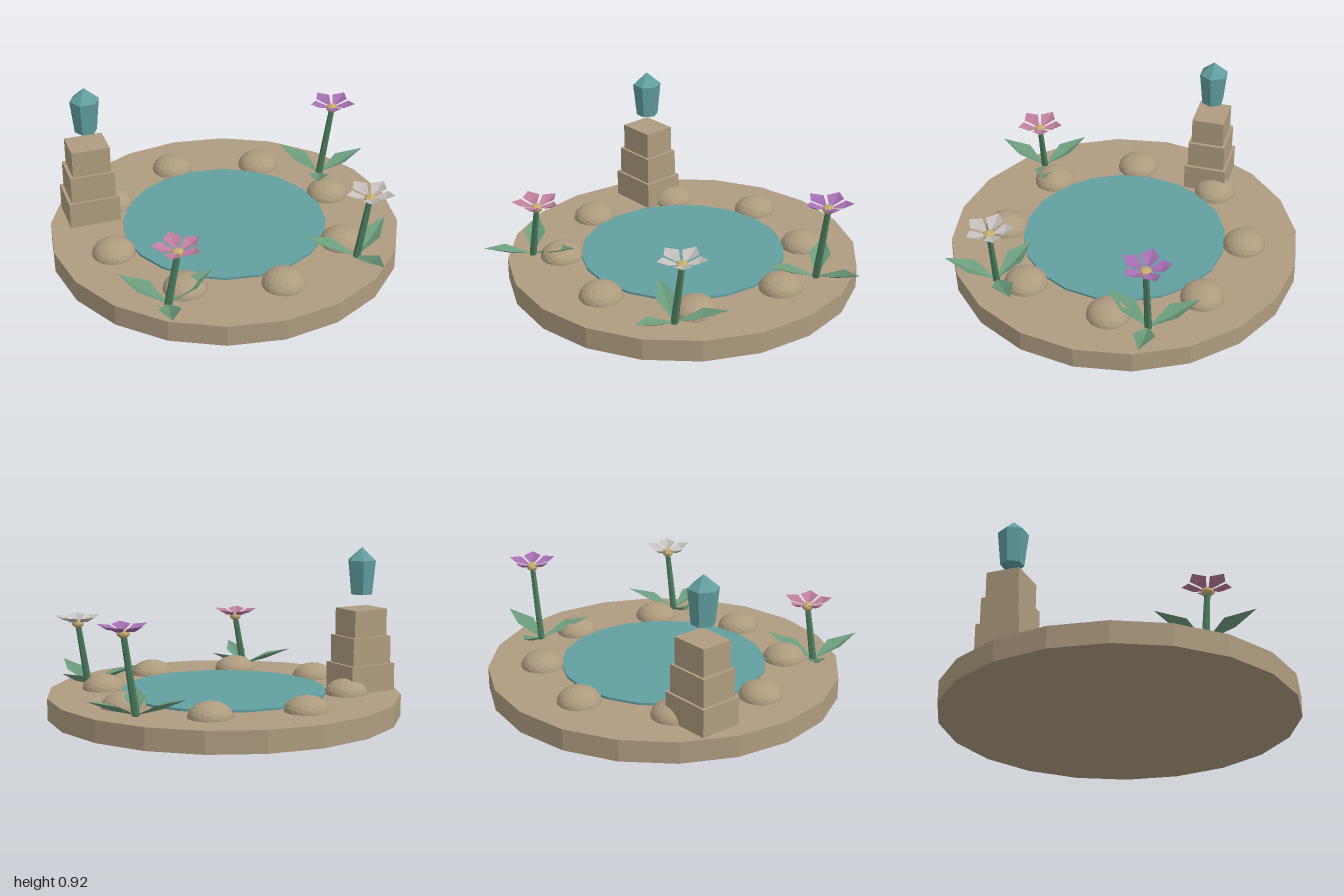
import * as THREE from 'three';

const mat = (name, color) => {
  const m = new THREE.MeshStandardMaterial({ color, flatShading: true });
  m.name = name;
  return m;
};

// Folded blade along +x: narrow base, raised edges, spine and pointed tip.
function bladeGeometry({ start, wide, length, halfWidth, spineY, edgeY, tipY }) {
  const base = [start, 0, 0], spine = [wide, spineY, 0], tip = [length, tipY, 0];
  const near = [wide, edgeY, halfWidth], far = [wide, edgeY, -halfWidth];
  const corners = [base, near, spine, near, tip, spine, base, spine, far, spine, tip, far];
  const g = new THREE.BufferGeometry();
  g.setAttribute('position', new THREE.Float32BufferAttribute(corners.flat(), 3));
  g.computeVertexNormals();
  return g;
}

export function createModel() {
  const root = new THREE.Group();
  root.name = 'pondGarden';

  const stone = mat('sandstone', 0xae9c7f);
  const water = mat('teal', 0x629fa0);
  const stemGreen = mat('stemGreen', 0x4a7a5c);
  const leafGreen = mat('leafGreen', 0x6b9c7c);
  const yellow = mat('pollenYellow', 0xc4ac70);
  const violet = mat('violetPetal', 0xa46eb0);
  const white = mat('whitePetal', 0xc2bfbb);
  const pink = mat('pinkPetal', 0xbd7d9c);
  for (const m of [leafGreen, violet, white, pink]) m.side = THREE.DoubleSide;

  const add = (parent, name, geometry, material, x = 0, y = 0, z = 0) => {
    const mesh = new THREE.Mesh(geometry, material);
    mesh.name = name;
    mesh.position.set(x, y, z);
    parent.add(mesh);
    return mesh;
  };

  // Round base and pool
  const cx = -0.013, ground = 0.12;
  add(root, 'base', new THREE.CylinderGeometry(0.985, 0.985, ground, 20), stone, cx, ground / 2, 0);
  add(root, 'pool', new THREE.CylinderGeometry(0.576, 0.576, 0.02, 20), water, cx, 0.123, 0);

  // Ring of rounded stones
  const rock = new THREE.IcosahedronGeometry(0.12, 3).scale(1, 0.7, 1);
  for (let i = 0; i < 8; i++) {
    const a = -0.15 + i * Math.PI / 4;
    add(root, 'rimStone', rock, stone, cx + 0.682 * Math.cos(a), ground, 0.682 * Math.sin(a));
  }

  // Stepped pillar
  const px = -0.708, pz = -0.338;
  [[0.29, 0.245, 0.12, 0.273], [0.254, 0.215, 0.273, 0.428], [0.217, 0.185, 0.428, 0.58]]
    .forEach(([w, d, y0, y1]) =>
      add(root, 'pillarBlock', new THREE.BoxGeometry(w, y1 - y0, d), stone, px, (y0 + y1) / 2, pz));

  // Floating crystal
  const crystal = new THREE.Group();
  crystal.name = 'crystal';
  crystal.position.set(px, 0, pz);
  crystal.rotation.y = Math.PI / 6;
  root.add(crystal);
  add(crystal, 'crystalBody', new THREE.CylinderGeometry(0.083, 0.063, 0.19, 6, 1), water, 0, 0.755, 0);
  add(crystal, 'crystalTip', new THREE.ConeGeometry(0.083, 0.072, 6, 1, true), water, 0, 0.886, 0);

  // Flowers: leaning stem, three leaves, five petals
  const leafGeo = bladeGeometry({ start: 0, wide: 0.14, length: 0.29, halfWidth: 0.06, spineY: 0.04, edgeY: 0.07, tipY: 0.105 });
  const petalGeo = bladeGeometry({ start: 0.008, wide: 0.085, length: 0.136, halfWidth: 0.05, spineY: 0.012, edgeY: 0.032, tipY: 0.04 });
  const pollenGeo = new THREE.IcosahedronGeometry(0.035, 1).scale(1, 0.7, 1);

  function flower(name, baseX, z, headX, headY, petalMat, leafDeg, petalDeg) {
    const g = new THREE.Group();
    g.name = name;
    root.add(g);
    const dx = headX - baseX, dy = headY - ground;
    const stem = add(g, 'stem', new THREE.CylinderGeometry(0.016, 0.021, Math.hypot(dx, dy), 6),
      stemGreen, (baseX + headX) / 2, (headY + ground) / 2, z);
    stem.rotation.z = -Math.atan2(dx, dy);
    for (let i = 0; i < 3; i++)
      add(g, 'leaf', leafGeo, leafGreen, baseX, ground + 0.005, z).rotation.y =
        -THREE.MathUtils.degToRad(leafDeg + i * 120);
    for (let i = 0; i < 5; i++)
      add(g, 'petal', petalGeo, petalMat, headX, headY + 0.01, z).rotation.y =
        -THREE.MathUtils.degToRad(petalDeg + i * 72);
    add(g, 'flowerCentre', pollenGeo, yellow, headX, headY + 0.004, z);
  }
  flower('violetFlower', 0.705, -0.332, 0.772, 0.549, violet, -5, -108);
  flower('whiteFlower', 0.555, 0.567, 0.614, 0.473, white, -35, -106);
  flower('pinkFlower', -0.545, 0.657, -0.487, 0.425, pink, -18, -92);

  return root;
}
